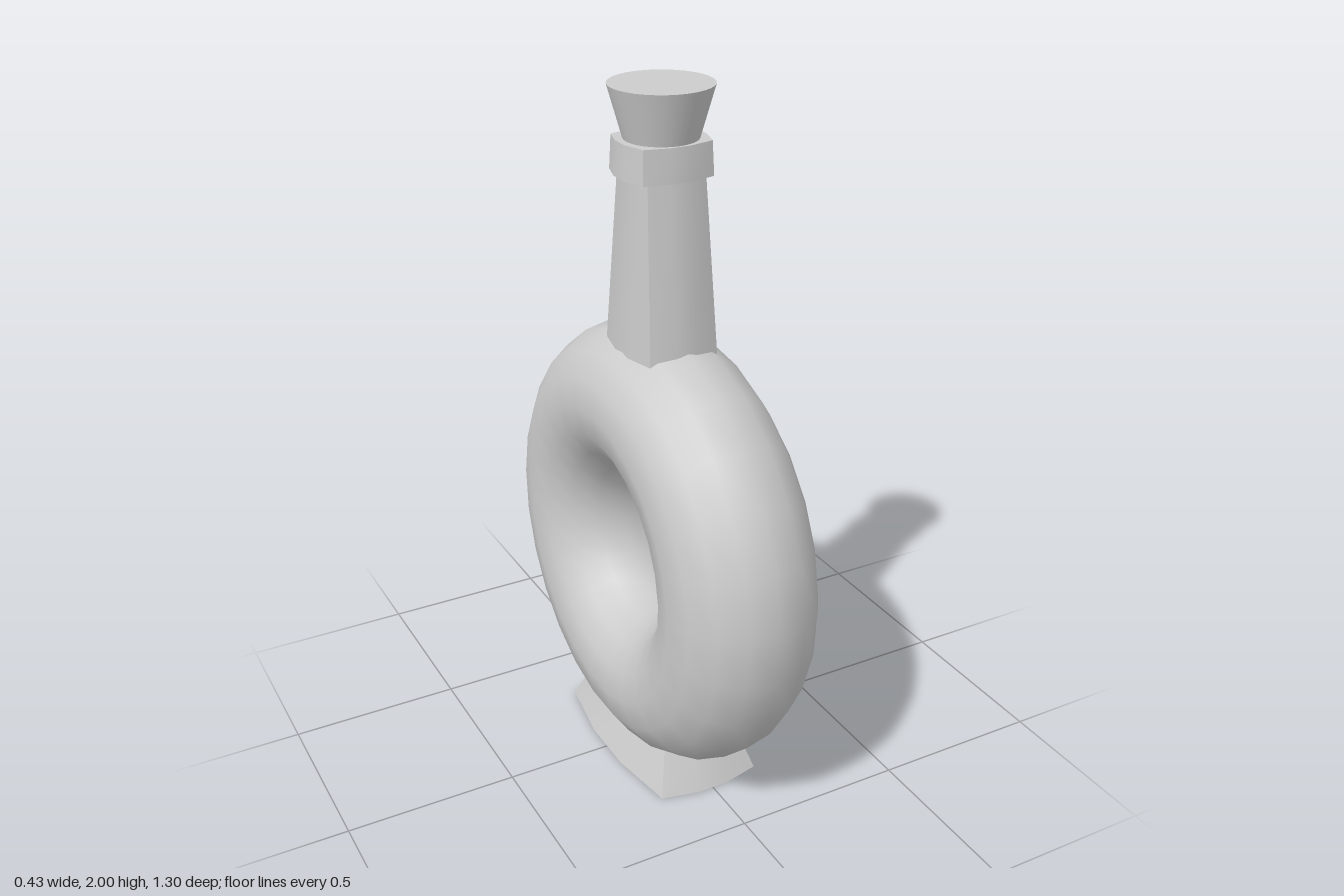
import * as THREE from 'three';
import { toCreasedNormals } from 'three/addons/utils/BufferGeometryUtils.js';

const material = new THREE.MeshStandardMaterial({ color: 0xcccccc });

// Rectangle with slightly bulging sides: corner at (cx, cz), sides reach hx and hz.
function outline([y, cx, cz, hx, hz]) {
  const quarter = [[hx, cz * 0.3], [cx, cz], [cx * 0.3, hz]];
  const back = quarter.slice().reverse();
  return [
    ...quarter,
    ...back.map(([x, z]) => [-x, z]),
    ...quarter.map(([x, z]) => [-x, -z]),
    ...back.map(([x, z]) => [x, -z]),
  ].map(([x, z]) => [x, y, z]);
}

// Closed solid between stacked outlines, bottom to top.
function loft(sections) {
  const rings = sections.map(outline);
  const n = rings[0].length;
  const positions = rings.flat(2);
  const index = [];
  for (let r = 0; r < rings.length - 1; r++) {
    for (let i = 0; i < n; i++) {
      const a = r * n + i, b = r * n + (i + 1) % n;
      index.push(a, a + n, b, a + n, b + n, b);
    }
  }
  const bottom = rings.length * n, top = bottom + 1, last = (rings.length - 1) * n;
  positions.push(0, sections[0][0], 0, 0, sections[sections.length - 1][0], 0);
  for (let i = 0; i < n; i++) {
    const j = (i + 1) % n;
    index.push(bottom, i, j, top, last + j, last + i);
  }
  const geometry = new THREE.BufferGeometry();
  geometry.setAttribute('position', new THREE.Float32BufferAttribute(positions, 3));
  geometry.setIndex(index);
  return toCreasedNormals(geometry, 0.6);
}

export function createModel() {
  const group = new THREE.Group();
  const add = (name, geometry) => {
    const mesh = new THREE.Mesh(geometry, material);
    mesh.name = name;
    group.add(mesh);
  };

  // Ring-shaped bottle body, hole facing sideways
  const body = new THREE.TorusGeometry(0.435, 0.215, 16, 25);
  body.rotateZ(Math.PI / 2).rotateY(Math.PI / 2).translate(0, 0.68, 0);
  add('body', body);

  // Flared foot, tapering up into the ring
  add('foot', loft([
    [0, 0.155, 0.295, 0.187, 0.32],
    [0.13, 0.116, 0.237, 0.128, 0.255],
  ]));

  // Tapered neck
  add('neck', loft([
    [1.24, 0.103, 0.132, 0.123, 0.155],
    [1.8, 0.084, 0.083, 0.097, 0.098],
  ]));

  // Collar below the mouth
  add('collar', loft([
    [1.768, 0.103, 0.095, 0.124, 0.114],
    [1.86, 0.1, 0.09, 0.119, 0.107],
  ]));

  // Flared stopper
  const stopper = new THREE.CylinderGeometry(0.14, 0.083, 0.2, 32);
  stopper.translate(0, 1.9, 0);
  add('stopper', stopper);

  return group;
}
